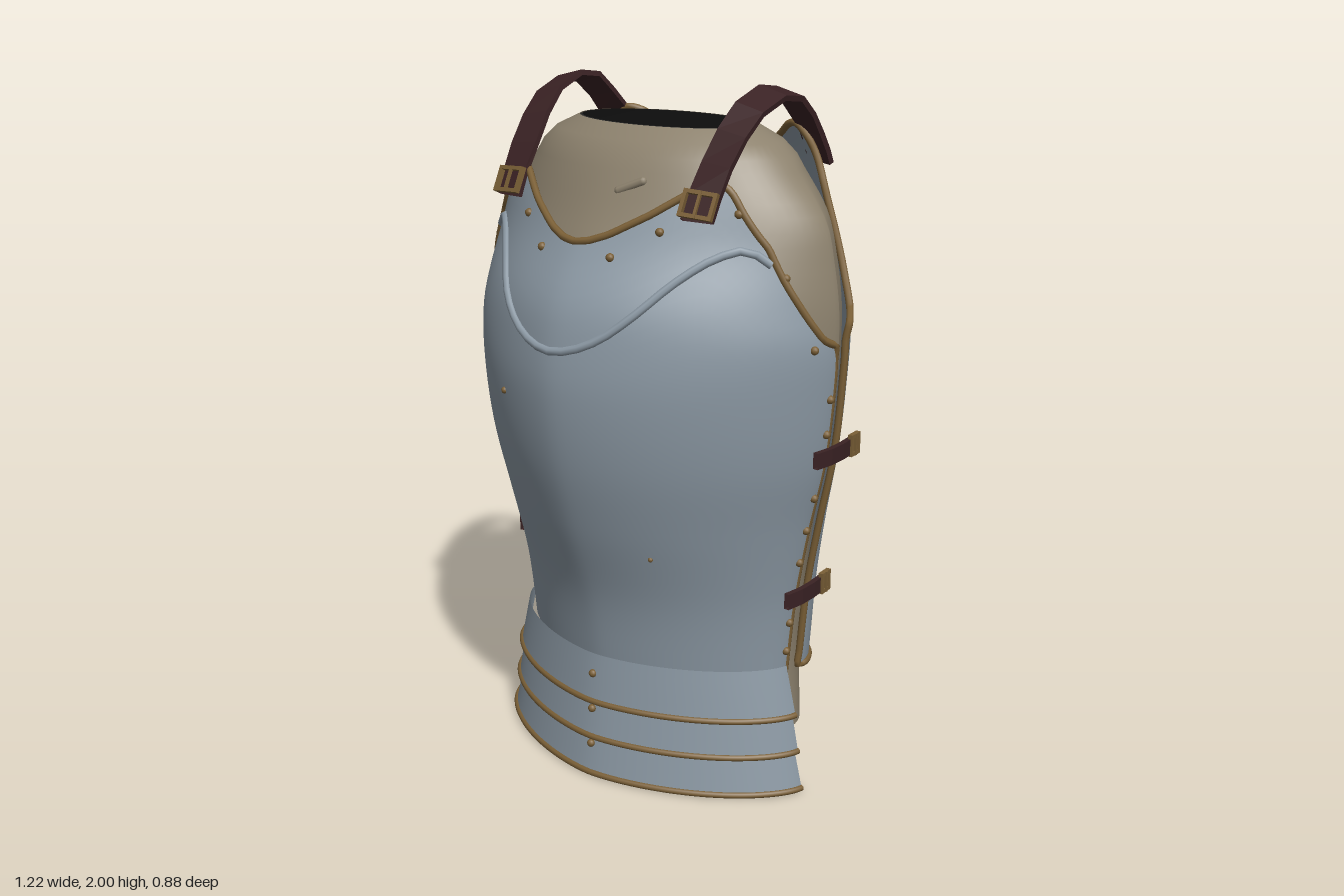
import * as THREE from 'three';
import { mergeVertices } from 'three/addons/utils/BufferGeometryUtils.js';

const V = (x, y, z) => new THREE.Vector3(x, y, z);
const { lerp, smoothstep, clamp } = THREE.MathUtils;
const mat = (name, color) => {
  const m = new THREE.MeshStandardMaterial({ color, side: THREE.DoubleSide });
  m.name = name;
  return m;
};

// Interpolates rows [key, a, b...] at k; smooth uses Hermite tangents
function sample(rows, k, smooth = true) {
  let i = 0;
  while (i < rows.length - 2 && k > rows[i + 1][0]) i++;
  const p = rows[i], q = rows[i + 1], h = q[0] - p[0];
  const t = clamp((k - p[0]) / h, 0, 1);
  return p.slice(1).map((v, n) => {
    const c = n + 1;
    if (!smooth) return v + (q[c] - v) * t;
    const slope = (j) => {
      const a = rows[Math.max(j - 1, 0)], b = rows[Math.min(j + 1, rows.length - 1)];
      return (b[c] - a[c]) / (b[0] - a[0]);
    };
    const t2 = t * t, t3 = t2 * t;
    return (2 * t3 - 3 * t2 + 1) * v + (t3 - 2 * t2 + t) * h * slope(i)
      + (3 * t2 - 2 * t3) * q[c] + (t3 - t2) * h * slope(i + 1);
  });
}

// Grid surface from a rule point(u, t), both 0..1
function patch(point, nu, nt) {
  const pos = [], idx = [];
  for (let j = 0; j <= nt; j++) for (let i = 0; i <= nu; i++) pos.push(...point(i / nu, j / nt).toArray());
  for (let j = 0; j < nt; j++) for (let i = 0; i < nu; i++) {
    const a = j * (nu + 1) + i, b = a + 1, c = a + nu + 1, d = c + 1;
    idx.push(a, b, d, a, d, c);
  }
  let g = new THREE.BufferGeometry();
  g.setAttribute('position', new THREE.Float32BufferAttribute(pos, 3));
  g.setIndex(idx);
  g = mergeVertices(g, 1e-5);
  g.computeVertexNormals();
  return g;
}

// Flat band with thickness; rows are [centre, width direction]
function band(rows, width, thick) {
  const n = rows.length - 1;
  const g = patch((u, t) => {
    const i = Math.round(t * n), k = Math.round(u * 4) % 4;
    const [c, dir] = rows[i];
    const w = dir.clone().normalize();
    const along = rows[Math.min(i + 1, n)][0].clone().sub(rows[Math.max(i - 1, 0)][0]);
    const up = w.clone().cross(along).normalize();
    return c.clone().addScaledVector(w, (k === 0 || k === 3 ? -0.5 : 0.5) * width)
      .addScaledVector(up, (k < 2 ? 0.5 : -0.5) * thick);
  }, 4, n).toNonIndexed();
  g.computeVertexNormals();
  return g;
}

// Profiles by height: [y, half width, depth]
const FRONT = [[0.34, 0.465, 0.24], [0.5, 0.48, 0.265], [0.6, 0.493, 0.29], [0.8, 0.53, 0.36], [1, 0.575, 0.415],
  [1.2, 0.597, 0.44], [1.34, 0.6, 0.43], [1.45, 0.575, 0.405], [1.6, 0.54, 0.325], [1.7, 0.53, 0.28], [1.77, 0.53, 0.24]];
const BACK = [[0.34, 0.465, 0.355], [0.6, 0.49, 0.37], [0.8, 0.525, 0.38], [1, 0.565, 0.4], [1.2, 0.585, 0.425],
  [1.38, 0.59, 0.437], [1.5, 0.56, 0.434], [1.6, 0.53, 0.42], [1.72, 0.495, 0.39], [1.8, 0.49, 0.355], [1.88, 0.48, 0.3]];
// Lining: [y, half width, front z, back z]
const LINING = [[0.16, 0.465, 0.215, -0.325], [0.38, 0.455, 0.21, -0.335], [0.6, 0.475, 0.255, -0.35], [0.8, 0.51, 0.325, -0.36],
  [1, 0.555, 0.38, -0.38], [1.2, 0.578, 0.405, -0.405], [1.4, 0.583, 0.375, -0.412], [1.55, 0.562, 0.31, -0.395],
  [1.66, 0.53, 0.25, -0.37], [1.78, 0.435, 0.19, -0.32], [1.84, 0.385, 0.15, -0.28], [1.885, 0.29, 0.09, -0.235]];
// Top edges of the plates by sideways fraction: [s, y]
const FRONT_TOP = [[0, 1.6], [0.08, 1.605], [0.185, 1.625], [0.37, 1.68], [0.56, 1.75], [0.66, 1.765], [0.72, 1.74],
  [0.87, 1.6], [0.947, 1.45], [0.985, 1.36], [1, 1.34]];
const BACK_TOP = [[0, 1.71], [0.1, 1.72], [0.25, 1.765], [0.42, 1.83], [0.55, 1.872], [0.63, 1.88], [0.7, 1.845],
  [0.83, 1.72], [0.896, 1.5], [0.94, 1.41], [1, 1.38]];

// Cross-section shapes: keeled front, back broader towards the shoulders
const round = (s) => Math.sqrt(Math.max(0, 1 - s * s));
const frontCurve = (s) => 0.85 * Math.pow(round(s), 1.3) + 0.15 * (1 - Math.sqrt(s * s + 0.004)) / (1 - Math.sqrt(0.004));
const backCurve = (s, y) => lerp(round(s), 1 - Math.pow(Math.abs(s), 3.5), smoothstep(y, 0.3, 1.1));

function frontPoint(s, y) {
  const [w, f] = sample(FRONT, y);
  return V(w * s, y, -0.035 + (f + 0.035) * frontCurve(s));
}
function backPoint(s, y) {
  const [w, b] = sample(BACK, y);
  const spine = 0.01 * Math.exp(-Math.pow(s / 0.2, 2)) * smoothstep(y, 0.5, 1.3);
  return V(-w * s, y, -0.115 - (b - 0.115) * backCurve(s, y) + spine);
}
// Closed lining ring, shrunk by an inset; rounder near the neck
function liningPoint(u, t, inset) {
  const a = (u * 2 - 1) * Math.PI, s = u === 0 || u === 1 ? 0 : Math.sin(a), y = 0.16 + 1.725 * t;
  const [w, f, b] = sample(LINING, y), mid = -0.075, neck = smoothstep(y, 1.6, 1.88);
  const z = Math.cos(a) > 0
    ? mid + (f - inset - mid) * lerp(frontCurve(s), round(s), neck)
    : mid + (b + inset - mid) * lerp(backCurve(s, y), round(s), neck);
  return V((w - inset) * s, y, z);
}
// Point on the front plate under a given x and y
const onFront = (x, y) => frontPoint(clamp(x / sample(FRONT, y)[0], -1, 1), y);

export function createModel() {
  const root = new THREE.Group();
  root.name = 'torsoArmour';
  const steel = mat('steel', 0x8b98a3), cloth = mat('paddedCloth', 0x8d826e), dark = mat('darkInside', 0x262626);
  const leather = mat('leather', 0x3a2224), brass = mat('brass', 0x7a5f36);
  const add = (name, geo, material, parent = root) => {
    const m = new THREE.Mesh(geo, material);
    m.name = name;
    parent.add(m);
    return m;
  };
  const tube = (name, pts, r, material, closed = false) => add(name,
    new THREE.TubeGeometry(new THREE.CatmullRomCurve3(pts, closed, 'centripetal'), pts.length * 2, r, 8, closed), material);

  // Padded lining, open at neck and hem, dark inside
  add('lining', patch((u, t) => liningPoint(u, t, 0), 72, 48), cloth);
  add('liningInside', patch((u, t) => liningPoint(1 - u, t, 0.008), 72, 48), dark);
  const fold = add('liningFold', new THREE.CapsuleGeometry(0.012, 0.075, 4, 8), cloth);
  fold.position.set(0.09, 1.74, 0.198);
  fold.rotation.set(-0.6, 0, -1.1);

  // Breastplate and backplate with rolled brass edges
  const plate = (name, point, top, bottom, closed) => {
    const at = (u, t) => {
      const s = Math.sin((u * 2 - 1) * Math.PI / 2);
      return point(s, lerp(bottom, sample(top, Math.abs(s), false)[0], t));
    };
    add(name, patch(at, 80, 36), steel);
    // the side edges of the trim sit tucked into the gap
    const edge = (u, t) => at(u, t).multiply(V(0.985, 1, 1)).add(V(0, 0, closed ? 0.005 : -0.007));
    const rim = [], n = 24;
    for (let i = 0; i < n; i++) rim.push(edge(0, i / n));
    for (let i = 0; i <= 72; i++) rim.push(at(i / 72, 1));
    for (let i = 1; i <= n; i++) rim.push(edge(1, 1 - i / n));
    if (closed) for (let i = 1; i < 40; i++) rim.push(at(1 - i / 40, 0));
    tube(name + 'Trim', rim, 0.0105, brass, closed);
  };
  plate('breastplate', frontPoint, FRONT_TOP, 0.345, false);
  plate('backplate', backPoint, BACK_TOP, 0.345, true);

  // Raised chest ridge
  const half = [[0.08, 1.335], [0.15, 1.37], [0.22, 1.43], [0.3, 1.52], [0.37, 1.578], [0.43, 1.597], [0.48, 1.56]];
  const ridge = [...half.map(([x, y]) => [-x, y]).reverse(), [0, 1.32], ...half];
  tube('chestRidge', ridge.map(([x, y]) => onFront(x, y)), 0.012, steel);

  // Overlapping waist lames: top y, bottom y, widths, depths
  const lames = [[0.38, 0.235, 0.48, 0.515, 0.262, 0.276], [0.245, 0.125, 0.502, 0.527, 0.265, 0.283],
    [0.135, 0.012, 0.512, 0.543, 0.27, 0.292]];
  lames.forEach(([y1, y0, w1, w0, f1, f0], i) => {
    const at = (u, t) => {
      const s = Math.sin((u * 2 - 1) * Math.PI / 2);
      return V(lerp(w0, w1, t) * s, lerp(y0, y1, t), -0.02 + (lerp(f0, f1, t) + 0.02) * frontCurve(s));
    };
    add('waistLame' + (i + 1), patch(at, 48, 4), steel);
    tube('lameTrim' + (i + 1), Array.from({ length: 41 }, (_, k) => at(k / 40, 0)), 0.009, brass);
  });

  // Rivets
  const rivetGeo = new THREE.SphereGeometry(0.012, 10, 8);
  const rivet = (p, scale = 1) => {
    const m = add('rivet', rivetGeo, brass);
    m.position.copy(p);
    m.scale.setScalar(scale);
  };
  [[0.32, 0.269], [0.21, 0.274], [0.1, 0.28]].forEach(([y, z]) => rivet(V(0, y, z)));
  rivet(onFront(-0.22, 1.16), 0.8);
  rivet(onFront(0.22, 0.73), 0.6);
  for (const side of [-1, 1]) {
    [[0.12, 1.57], [0.23, 1.64], [0.4, 1.69], [0.51, 1.525], [0.58, 1.335]].forEach(([x, y]) => rivet(onFront(side * x, y)));
    [0.42, 0.51, 0.7, 0.8, 0.9, 1.09, 1.19].forEach((y) => rivet(frontPoint(side * 0.998, y)));
  }

  // Rectangular buckle frame with a prong
  const buckle = (w, h) => {
    const rect = (a, b) => [[-a, -b], [a, -b], [a, b], [-a, b]].map(([x, y]) => new THREE.Vector2(x / 2, y / 2));
    const shape = new THREE.Shape(rect(w, h));
    shape.holes.push(new THREE.Path(rect(w - 0.022, h - 0.022).reverse()));
    const g = new THREE.Group();
    g.name = 'buckle';
    add('buckleFrame', new THREE.ExtrudeGeometry(shape, { depth: 0.014, bevelEnabled: false }), brass, g);
    add('bucklePin', new THREE.BoxGeometry(0.008, h, 0.008), brass, g).position.z = 0.012;
    root.add(g);
    return g;
  };

  for (const side of [-1, 1]) {
    const tag = side > 0 ? 'left' : 'right';
    // Shoulder strap: [x, y, z, sideways drop]
    const path = [[0.33, 1.675, 0.222, 0.02], [0.332, 1.735, 0.193, 0.04], [0.336, 1.81, 0.146, 0.1], [0.343, 1.885, 0.09, 0.18],
      [0.35, 1.945, 0.025, 0.24], [0.355, 1.98, -0.07, 0.25], [0.355, 1.97, -0.15, 0.24], [0.352, 1.92, -0.21, 0.2],
      [0.35, 1.86, -0.268, 0.15], [0.35, 1.81, -0.3, 0.1], [0.35, 1.772, -0.318, 0.08]];
    const rows = path.map(([x, y, z, d]) => [V(side * x, y, z), V(1, -side * d, z > 0.15 ? -side * 0.15 : z < -0.25 ? side * 0.25 : 0)]);
    add(tag + 'ShoulderStrap', band(rows, 0.092, 0.016), leather);
    const b = buckle(0.1, 0.075);
    b.position.set(side * 0.33, 1.715, 0.213);
    b.rotation.set(-0.45, side * 0.15, 0);

    // Side straps bridging the two plates
    for (const [y, x] of [[1.025, 0.578], [0.595, 0.496]]) {
      const pts = [[0.005, 0.02], [0.012, -0.04], [0.01, -0.1], [0, -0.175]];
      add(tag + 'SideStrap', band(pts.map(([dx, z]) => [V(side * (x + dx), y, z), V(0, 1, 0)]), 0.046, 0.016), leather);
      const f = buckle(0.05, 0.062);
      f.position.set(side * (x + 0.002), y + 0.004, -0.165);
      f.rotation.y = side * (Math.PI / 2 + 0.1);
    }
  }
  return root;
}
